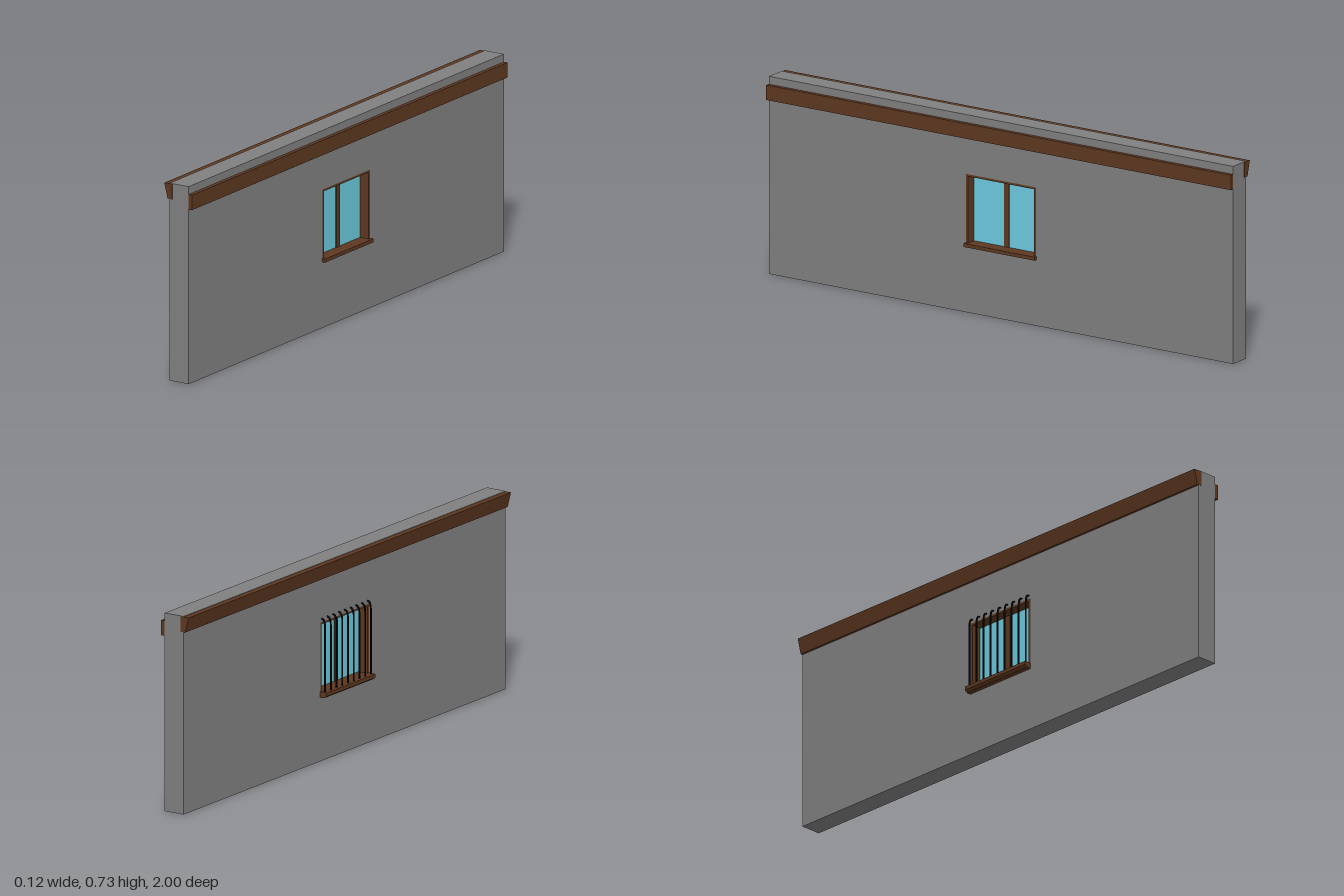
import * as THREE from 'three';

const mat = (color) => new THREE.MeshStandardMaterial({ color });
const wallMat = mat(0x808080);
const wood = mat(0x5e3820);
const glassMat = mat(0x6ccbe0);
const iron = mat(0x0a0a0a);

// Wall faces and window opening
const X0 = -0.035, X1 = 0.046, H = 0.729;
const ZW = 0.15, Y0 = 0.245, Y1 = 0.51;

function add(parent, name, geometry, material) {
  const mesh = new THREE.Mesh(geometry, material);
  mesh.name = name;
  parent.add(mesh);
  return mesh;
}

function box(parent, name, material, x0, x1, y0, y1, z0, z1) {
  const mesh = add(parent, name, new THREE.BoxGeometry(x1 - x0, y1 - y0, z1 - z0), material);
  mesh.position.set((x0 + x1) / 2, (y0 + y1) / 2, (z0 + z1) / 2);
  return mesh;
}

const rect = (Type, a, b, c, d) => new Type(
  [[a, b], [c, b], [c, d], [a, d]].map(([x, y]) => new THREE.Vector2(x, y)));

// Pierced panel in the z-y plane, running from x1 back to x0
function panel(outer, holes, x0, x1) {
  const shape = rect(THREE.Shape, ...outer);
  holes.forEach((h) => shape.holes.push(rect(THREE.Path, ...h)));
  const g = new THREE.ExtrudeGeometry(shape, { depth: x1 - x0, bevelEnabled: false });
  return g.rotateY(-Math.PI / 2).translate(x1, 0, 0);
}

// An x-y profile extruded along z, centred
function moulding(points, length) {
  const shape = new THREE.Shape(points.map(([x, y]) => new THREE.Vector2(x, y)));
  const g = new THREE.ExtrudeGeometry(shape, { depth: length, bevelEnabled: false });
  return g.translate(0, 0, -length / 2);
}

export function createModel() {
  const model = new THREE.Group();
  model.name = 'wallWithWindow';

  add(model, 'wall', panel([-0.999, 0, 0.999, H], [[-ZW, Y0, ZW, Y1]], X0, X1), wallMat);

  // Long timber trims along both faces
  add(model, 'outerCornice', moulding(
    [[-0.043, 0.671], [-0.023, 0.671], [-0.023, 0.727], [-0.057, 0.727]], 2), wood);
  box(model, 'innerTrim', wood, X1, 0.061, 0.645, 0.7, -1, 1);

  // Window: lining, sash with two panes, sills
  const window = new THREE.Group();
  window.name = 'window';
  model.add(window);
  const t = 0.008, low = 0.256, top = Y1 - t;
  add(window, 'windowLining', panel([-ZW, Y0, ZW, Y1], [[-ZW + t, low, ZW - t, top]], X0, X1), wood);
  box(window, 'mullion', wood, 0, 0.012, low, top, -0.011, 0.011);
  for (const s of [-1, 1]) {
    const c = s * (ZW - t + 0.011) / 2, half = (ZW - t - 0.011) / 2;
    box(window, 'glassPane', glassMat, 0.004, 0.008, low, top, c - half, c + half);
  }
  box(window, 'innerSill', wood, X1, 0.058, 0.243, 0.256, -0.153, 0.153);
  add(window, 'outerSill', moulding(
    [[-0.052, 0.235], [X0, 0.235], [X0, 0.256], [-0.063, 0.256], [-0.063, 0.243]], 0.304), wood);

  // Iron bars, bent over into the wall at the top
  const bars = new THREE.Group();
  bars.name = 'windowBars';
  model.add(bars);
  const v = (x, y) => new THREE.Vector3(x, y, 0);
  const path = new THREE.CurvePath();
  path.add(new THREE.LineCurve3(v(-0.05, 0.25), v(-0.05, 0.485)));
  path.add(new THREE.CubicBezierCurve3(v(-0.05, 0.485), v(-0.05, 0.51), v(-0.047, 0.523), v(-0.034, 0.523)));
  const barGeometry = new THREE.TubeGeometry(path, 40, 0.0033, 8);
  const count = 9;
  for (let i = 0; i < count; i++) {
    add(bars, 'bar', barGeometry, iron).position.z = -0.142 + (0.284 * i) / (count - 1);
  }

  return model;
}
